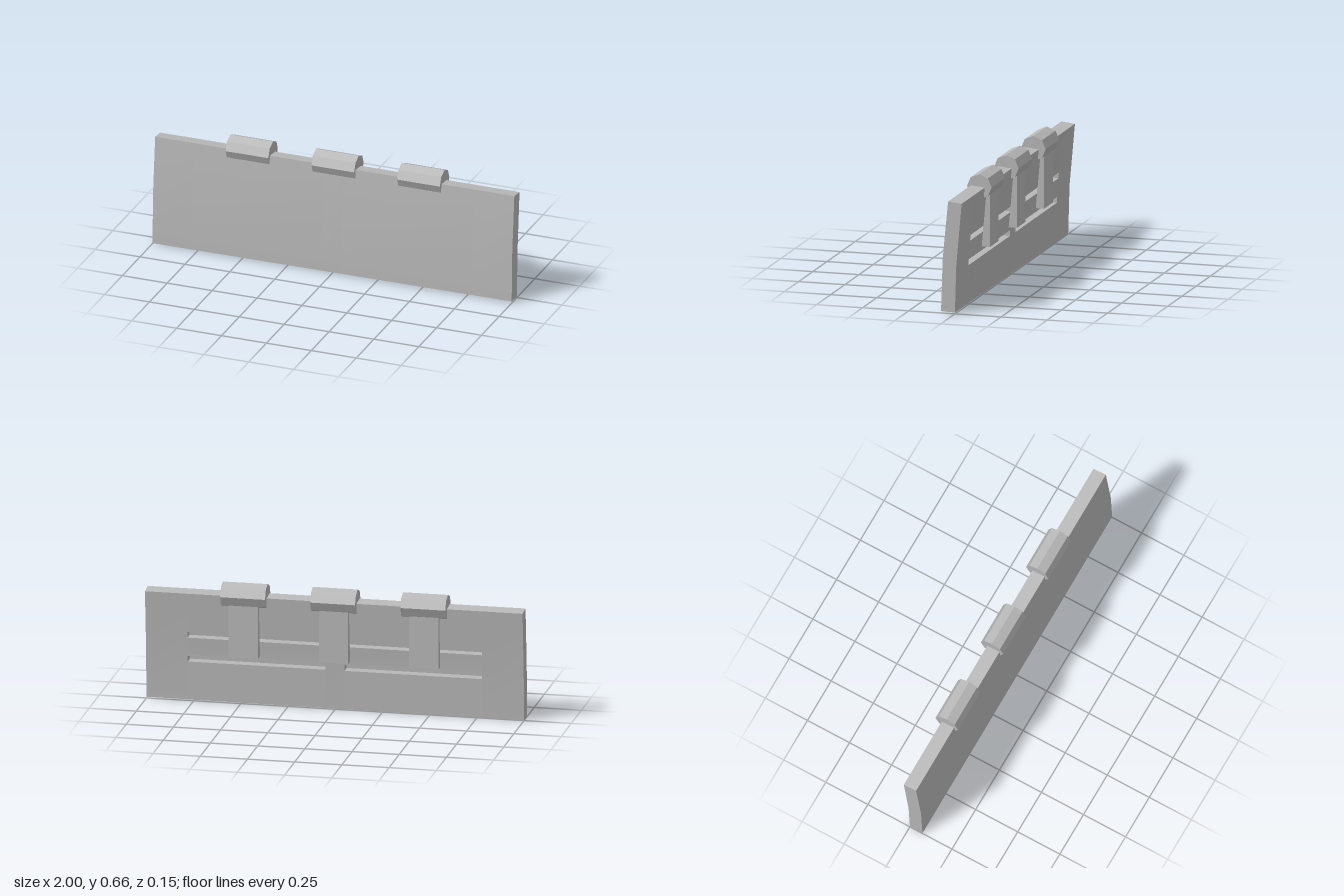
import * as THREE from 'three';
import { toCreasedNormals } from 'three/addons/utils/BufferGeometryUtils.js';

const grey = new THREE.MeshStandardMaterial({ color: 0xb8b8b8 });
grey.name = 'plain grey';

// Extrudes a [z, y] cross-section along x from x0 to x1.
function prism(points, x0, x1) {
  const shape = new THREE.Shape(points.map(([z, y]) => new THREE.Vector2(-z, y)));
  const geo = new THREE.ExtrudeGeometry(shape, { depth: x1 - x0, bevelEnabled: false });
  geo.rotateY(Math.PI / 2).translate(x0, 0, 0);
  return geo;
}

function addPart(parent, name, geo) {
  const mesh = new THREE.Mesh(toCreasedNormals(geo, 0.3), grey);
  mesh.name = name;
  parent.add(mesh);
}

// Depth of the plate's back surface at height y (one bend at y = 0.26).
function backZ(y) {
  return y < 0.26 ? -0.0075 * (y / 0.26) : -0.0075 - 0.029 * ((y - 0.26) / 0.326);
}

// Plate cross-section, optionally notched by the two slots in the back.
function plateProfile(slotted) {
  const notch = (y0, y1) => [
    [backZ(y0), y0], [backZ(y0) + 0.055, y0], [backZ(y1) + 0.055, y1], [backZ(y1), y1],
  ];
  return [
    [0.037, 0.594], [0.066, 0.29], [0.075, 0.003], [0, 0],
    ...(slotted ? notch(0.212, 0.243) : []),
    [backZ(0.26), 0.26],
    ...(slotted ? notch(0.343, 0.374) : []),
    [backZ(0.586), 0.586],
  ];
}

export function createModel() {
  const model = new THREE.Group();
  model.name = 'hungPanel';

  // Bent plate, in lengths with and without slots
  const plate = new THREE.Group();
  plate.name = 'plate';
  model.add(plate);
  const stops = [-1, -0.78, -0.05, 0.05, 0.78, 1];
  for (let i = 0; i < 5; i++) {
    const slotted = i % 2 === 1;
    const geo = prism(plateProfile(slotted), stops[i], stops[i + 1]);
    // The lower edge rises very slightly toward +x
    const pos = geo.attributes.position;
    for (let k = 0; k < pos.count; k++) {
      if (pos.getY(k) < 0.05) pos.setY(k, pos.getY(k) + 0.0035 * (pos.getX(k) + 1));
    }
    addPart(plate, slotted ? 'slottedLength' : 'solidLength', geo);
  }

  // Eight-sided hinge barrels with straps down the back
  const octagon = Array.from({ length: 8 }, (_, i) => {
    const a = (i * Math.PI) / 4;
    return [-0.0075 + 0.0665 * Math.sin(a), 0.589 + 0.0665 * Math.cos(a)];
  });
  const strap = [[-0.052, 0.263], [-0.052, 0.585], [-0.034, 0.585], [-0.007, 0.264]];
  for (const x of [-0.48, -0.002, 0.475]) {
    const hinge = new THREE.Group();
    hinge.name = 'hinge';
    addPart(hinge, 'barrel', prism(octagon, x - 0.119, x + 0.119));
    addPart(hinge, 'strap', prism(strap, x - 0.078, x + 0.078));
    model.add(hinge);
  }
  return model;
}
